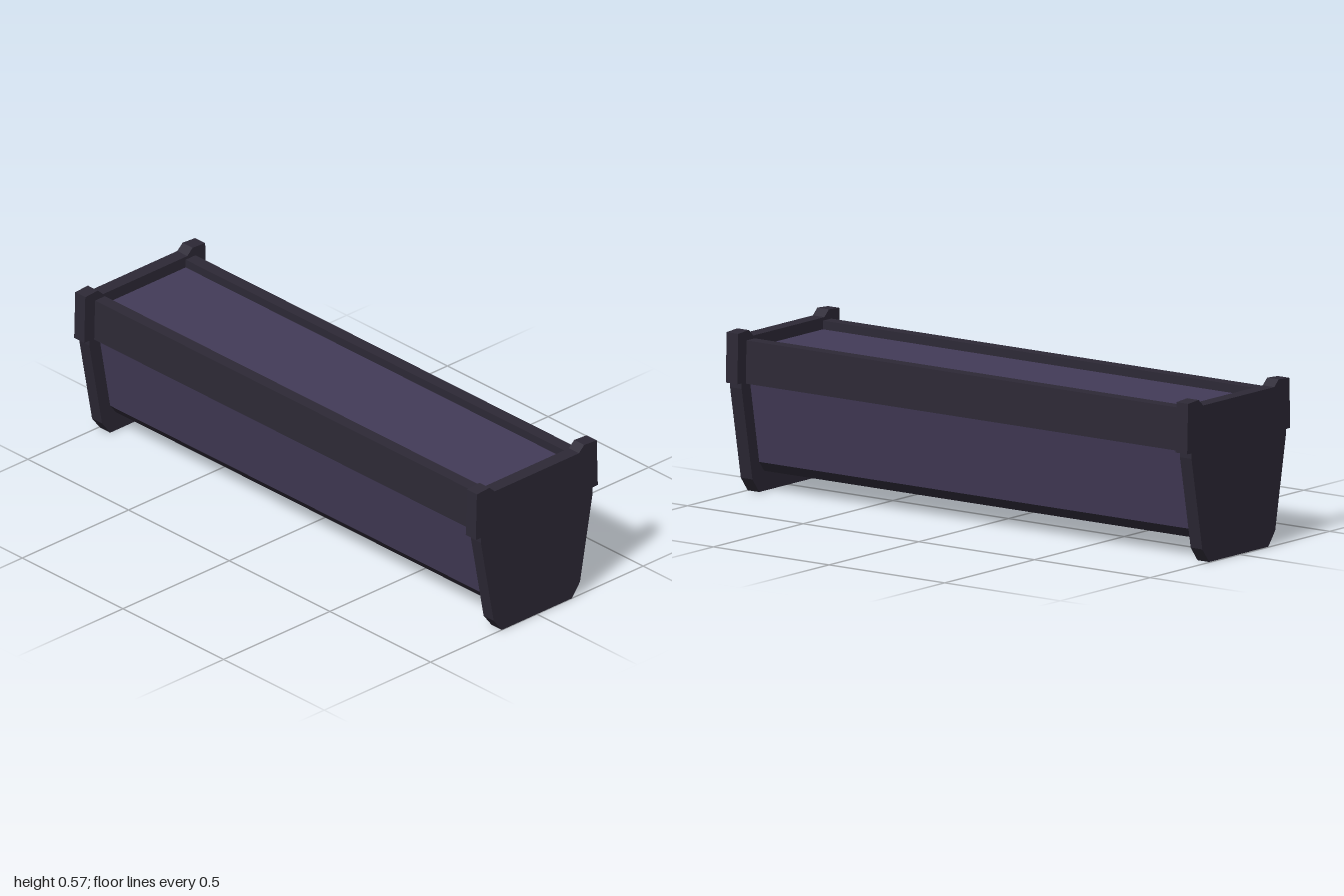
import * as THREE from 'three';

const dark = new THREE.MeshStandardMaterial({ color: 0x2d2936, flatShading: true });
const violet = new THREE.MeshStandardMaterial({ color: 0x433b58, flatShading: true });

// Extrudes a closed x/y outline from z0 to z1
function prism(name, points, z0, z1, material) {
  const shape = new THREE.Shape(points.map(([x, y]) => new THREE.Vector2(x, y)));
  const geometry = new THREE.ExtrudeGeometry(shape, { depth: z1 - z0, bevelEnabled: false });
  geometry.translate(0, 0, z0);
  const mesh = new THREE.Mesh(geometry, material);
  mesh.name = name;
  return mesh;
}

// Completes a right-hand half outline (listed bottom to top) with its mirror
const mirrored = (half) => [...half, ...half.map(([x, y]) => [-x, y]).reverse()];

export function createModel() {
  const model = new THREE.Group();
  model.name = 'planterTrough';

  // End plates: tapered feet, shoulder ears and a lowered top edge
  const plate = mirrored([
    [0.165, 0], [0.203, 0.05], [0.263, 0.375], [0.263, 0.394],
    [0.287, 0.395], [0.282, 0.57], [0.223, 0.574], [0.198, 0.551],
  ]);
  model.add(prism('frontEndPlate', plate, 0.95, 1, dark));
  model.add(prism('backEndPlate', plate, -0.995, -0.945, dark));

  // Tapered side panels and filling
  const body = mirrored([[0.165, 0.105], [0.216, 0.39], [0.216, 0.51]]);
  model.add(prism('bodyAndFilling', body, -0.945, 0.95, violet));

  // Chamfered base
  const base = mirrored([[0.138, 0.07], [0.165, 0.105]]);
  model.add(prism('base', base, -0.945, 0.95, dark));

  // Rim rails along both long sides
  const rail = [[0.19, 0.39], [0.24, 0.39], [0.236, 0.54], [0.19, 0.54]];
  for (const side of [1, -1]) {
    const outline = rail.map(([x, y]) => [side * x, y]);
    model.add(prism(side > 0 ? 'leftRim' : 'rightRim', outline, -0.945, 0.95, dark));
  }

  return model;
}
